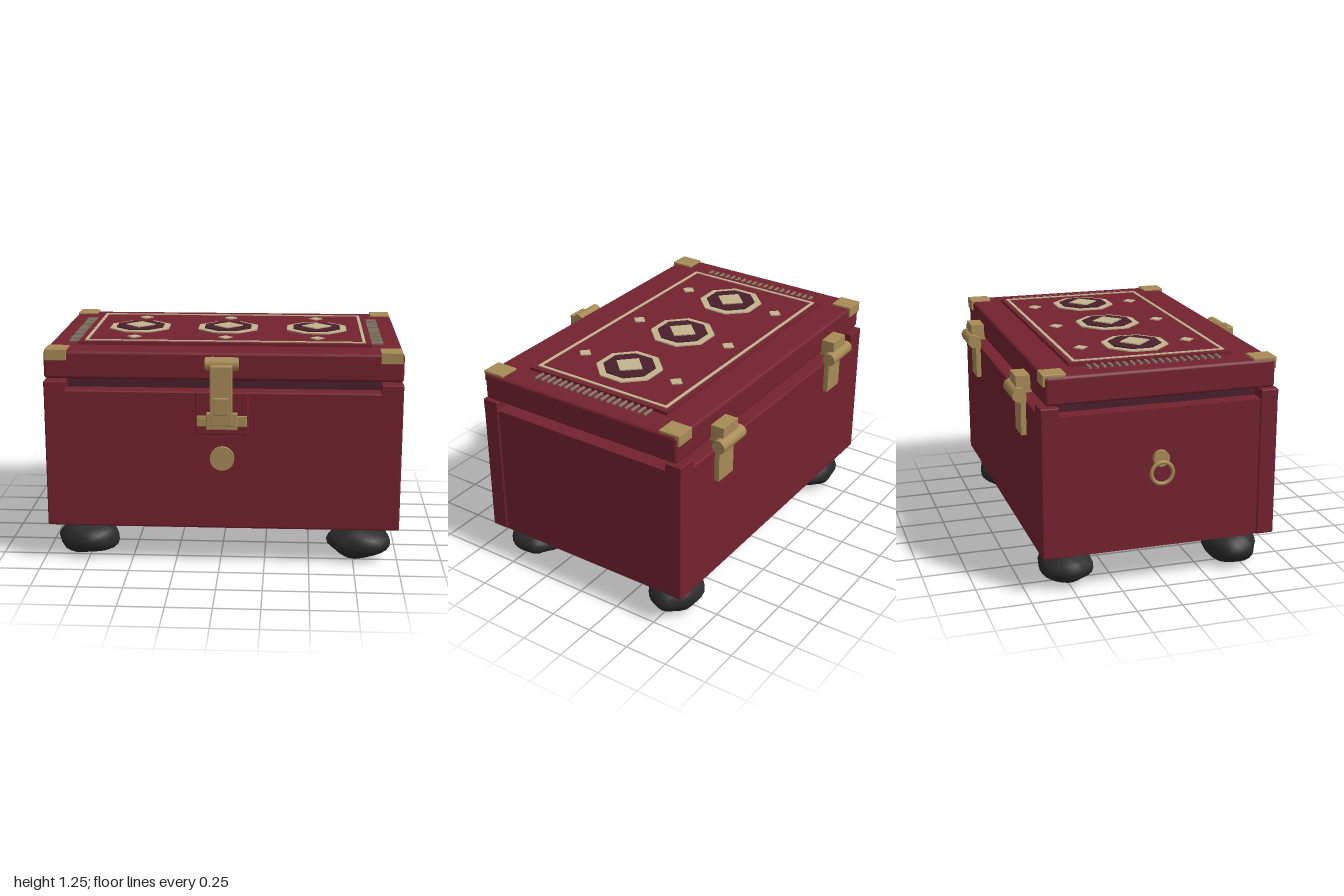
import * as THREE from 'three';
import { mergeVertices } from 'three/addons/utils/BufferGeometryUtils.js';
import { RoundedBoxGeometry } from 'three/addons/geometries/RoundedBoxGeometry.js';

const paint = (name, color) => Object.assign(new THREE.MeshStandardMaterial({ color }), { name });

export function createModel() {
  const red = paint('deep red', 0x74222e);
  const maroon = paint('dark maroon', 0x4a1f2c);
  const brass = paint('brass', 0xa88b57);
  const cream = paint('cream', 0xc4b48f);
  const tassel = paint('fringe grey', 0x877c68);
  const black = paint('charcoal', 0x2b2b2b);

  const model = new THREE.Group();
  model.name = 'chest';

  const add = (parent, name, geometry, material, x = 0, y = 0, z = 0) => {
    const mesh = new THREE.Mesh(geometry, material);
    mesh.name = name;
    mesh.position.set(x, y, z);
    parent.add(mesh);
    return mesh;
  };
  // Box given by its limits on each axis, with optional rounded edges
  const box = (parent, name, material, [x0, x1], [y0, y1], [z0, z1], round = 0) => {
    const size = [x1 - x0, y1 - y0, z1 - z0];
    const g = round ? new RoundedBoxGeometry(...size, 2, round) : new THREE.BoxGeometry(...size);
    return add(parent, name, g, material, (x0 + x1) / 2, (y0 + y1) / 2, (z0 + z1) / 2);
  };
  // Cylinder lying along x or z
  const rod = (parent, name, material, axis, r, length, x, y, z, sides = 20) => {
    const g = new THREE.CylinderGeometry(r, r, length, sides);
    if (axis === 'x') g.rotateZ(Math.PI / 2);
    else g.rotateX(Math.PI / 2);
    return add(parent, name, g, material, x, y, z);
  };
  const group = (name) => {
    const g = new THREE.Group();
    g.name = name;
    model.add(g);
    return g;
  };

  // Body: thick front and back walls, slightly recessed sides, base and neck
  const body = group('body');
  box(body, 'frontWall', red, [-0.965, 0.997], [0.22, 1.0], [0.53, 0.63], 0.01);
  box(body, 'backWall', red, [-0.965, 0.997], [0.22, 1.0], [-0.678, -0.578], 0.01);
  box(body, 'sidePanels', red, [-0.957, 0.989], [0.222, 0.995], [-0.585, 0.535]);
  box(body, 'basePlate', red, [-0.885, 0.915], [0.187, 0.23], [-0.58, 0.535]);
  box(body, 'neck', maroon, [-0.87, 0.9], [0.99, 1.047], [-0.563, 0.52]);
  for (const x of [[-0.965, -0.845], [0.877, 0.997]])
    for (const z of [[0.533, 0.63], [-0.678, -0.578]])
      box(body, 'cornerBlock', red, x, [0.985, 1.047], z, 0.006);

  // Lid with brass corner caps
  const lid = group('lid');
  box(lid, 'lidPanel', red, [-0.965, 0.997], [1.057, 1.212], [-0.652, 0.606], 0.018);
  for (const x of [[-0.957, -0.838], [0.87, 0.988]])
    for (const z of [[0.485, 0.614], [-0.662, -0.538]])
      box(lid, 'cornerCap', brass, x, [1.16, 1.223], z, 0.004);

  // Rug on the lid
  const rug = group('rug');
  box(rug, 'rugCloth', red, [-0.8, 0.83], [1.208, 1.23], [-0.48, 0.425]);
  const [bx0, bx1, bz0, bz1, bw] = [-0.767, 0.797, -0.455, 0.393, 0.017];
  const by = [1.227, 1.235];
  box(rug, 'rugBorder', cream, [bx0, bx1], by, [bz0, bz0 + bw]);
  box(rug, 'rugBorder', cream, [bx0, bx1], by, [bz1 - bw, bz1]);
  box(rug, 'rugBorder', cream, [bx0, bx0 + bw], by, [bz0 + bw, bz1 - bw]);
  box(rug, 'rugBorder', cream, [bx1 - bw, bx1], by, [bz0 + bw, bz1 - bw]);
  for (let i = 0; i < 19; i++) {
    const z = -0.385 + i * 0.0396;
    box(rug, 'fringe', tassel, [-0.867, -0.8], [1.211, 1.222], [z - 0.006, z + 0.006]);
    box(rug, 'fringe', tassel, [0.83, 0.897], [1.211, 1.222], [z - 0.006, z + 0.006]);
  }
  // Flat-topped polygon tile
  const tile = (name, material, r, sides, turn, x, z, y0, y1) =>
    add(rug, name, new THREE.CylinderGeometry(r, r, y1 - y0, sides).rotateY(turn), material,
      x, (y0 + y1) / 2, z);
  for (const x of [-0.503, 0.014, 0.531]) {
    tile('medallionRim', cream, 0.186, 8, Math.PI / 8, x, -0.028, 1.228, 1.237);
    tile('medallion', maroon, 0.146, 8, Math.PI / 8, x, -0.028, 1.235, 1.243);
    tile('medallionDiamond', cream, 0.087, 4, 0, x, -0.028, 1.241, 1.249);
    for (const z of [-0.335, 0.275]) tile('smallDiamond', cream, 0.04, 4, 0, x, z, 1.228, 1.236);
  }

  // Front latch
  const latch = group('latch');
  const cx = 0.015;
  box(latch, 'backingPlate', red, [cx - 0.145, cx + 0.145], [0.765, 1.005], [0.62, 0.66], 0.008);
  box(latch, 'catchPlate', brass, [cx - 0.137, cx + 0.137], [0.815, 0.875], [0.655, 0.672], 0.004);
  box(latch, 'catch', brass, [cx - 0.085, cx + 0.085], [0.8, 0.895], [0.655, 0.688], 0.006);
  for (const s of [-1, 1])
    rod(latch, 'screw', brass, 'z', 0.02, 0.03, cx + s * 0.11, 0.845, 0.672, 12);
  rod(latch, 'roller', brass, 'x', 0.036, 0.18, cx, 1.163, 0.662);
  box(latch, 'lidMount', brass, [cx - 0.06, cx + 0.06], [1.135, 1.19], [0.6, 0.66]);
  box(latch, 'hookTop', brass, [cx - 0.06, cx + 0.06], [1.13, 1.165], [0.66, 0.745], 0.005);
  box(latch, 'hasp', brass, [cx - 0.06, cx + 0.06], [0.838, 1.16], [0.715, 0.745], 0.005);
  box(latch, 'haspPad', brass, [cx - 0.042, cx + 0.042], [0.9, 0.995], [0.74, 0.764], 0.004);

  // Round lock button
  rod(latch, 'lockRim', brass, 'z', 0.067, 0.03, cx, 0.628, 0.64, 24);
  rod(latch, 'lockFace', brass, 'z', 0.05, 0.035, cx, 0.628, 0.643, 24);

  // Back hinges
  for (const x of [-0.58, 0.612]) {
    const hinge = group('hinge');
    rod(hinge, 'barrel', brass, 'x', 0.038, 0.218, x, 1.047, -0.722);
    box(hinge, 'upperLeaf', brass, [x - 0.07, x + 0.07], [1.05, 1.142], [-0.73, -0.645]);
    box(hinge, 'lowerLeaf', brass, [x - 0.07, x + 0.07], [0.815, 1.04], [-0.706, -0.675]);
  }

  // Ring pull on the right side
  const pull = group('ringPull');
  rod(pull, 'ringMount', brass, 'x', 0.045, 0.03, -0.968, 0.725, -0.03, 16);
  add(pull, 'ring', new THREE.TorusGeometry(0.06, 0.011, 8, 24).rotateY(Math.PI / 2), brass,
    -0.988, 0.648, -0.03);

  // Lumpy stone-like feet
  const feet = group('feet');
  const footGeometry = (seed) => {
    let g = new THREE.IcosahedronGeometry(1, 4);
    g.deleteAttribute('normal');
    g.deleteAttribute('uv');
    g = mergeVertices(g, 1e-4);
    const p = g.attributes.position;
    const v = new THREE.Vector3();
    for (let i = 0; i < p.count; i++) {
      v.fromBufferAttribute(p, i);
      const lump = Math.sin(v.x * 4.1 + seed) * Math.sin(v.y * 3.7 + seed * 2) * 0.05
        + Math.sin(v.z * 6.3 + v.x * 5 + seed * 3) * 0.03;
      v.multiplyScalar(0.99 + lump);
      p.setXYZ(i, v.x * 0.178, v.y * 0.098, v.z * 0.15);
    }
    g.computeVertexNormals();
    return g;
  };
  [[-0.757, 0.455], [0.788, 0.455], [-0.757, -0.505], [0.788, -0.505]].forEach(([x, z], i) =>
    add(feet, 'foot', footGeometry(i * 1.7 + 0.6), black, x, 0.102, z));

  return model;
}
